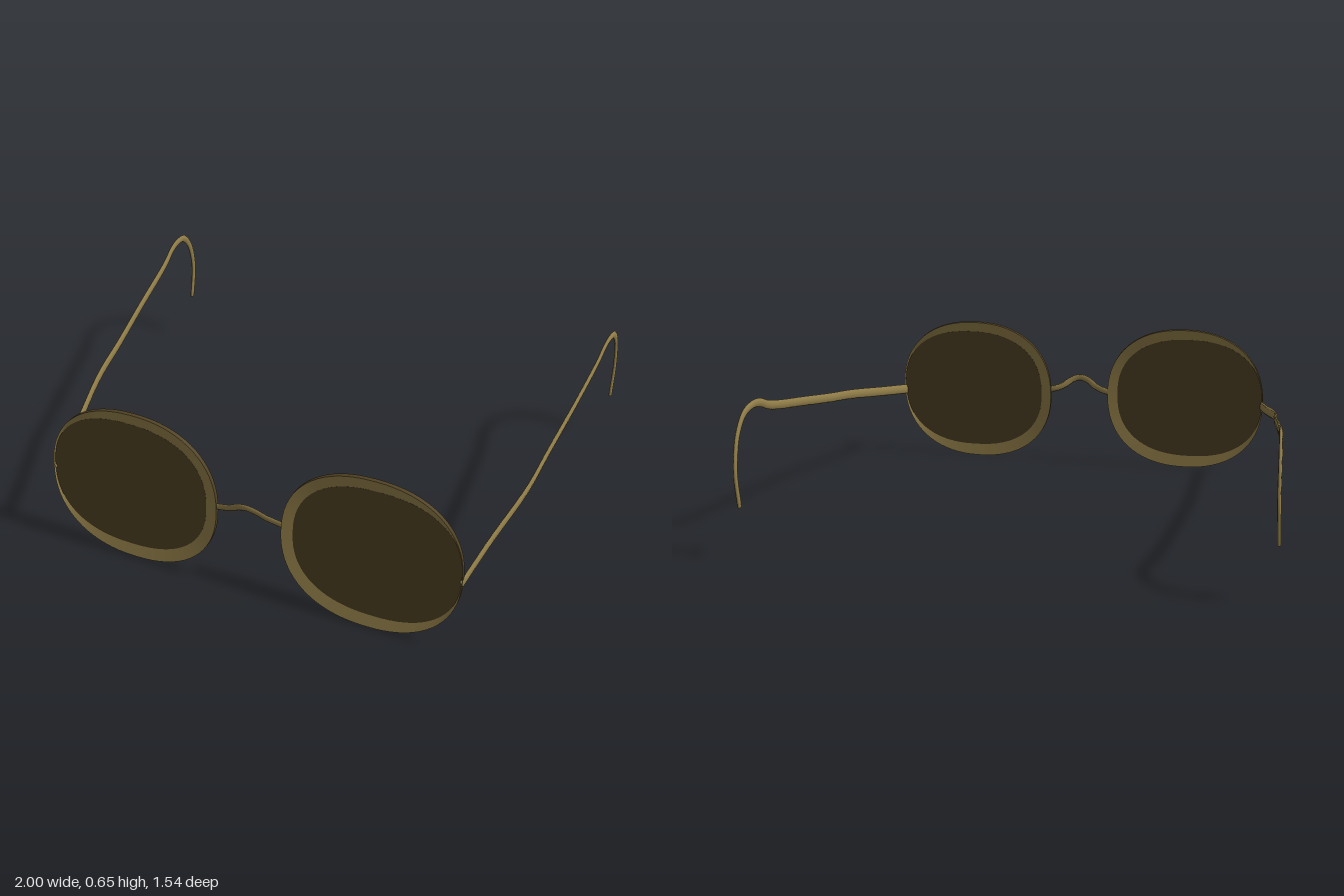
import * as THREE from 'three';

const V = (x, y, z) => new THREE.Vector3(x, y, z);

// Skin between successive closed rings of points
function loft(rings) {
  const n = rings[0].length, index = [];
  for (let i = 0; i < rings.length - 1; i++) {
    for (let j = 0; j < n; j++) {
      const k = (j + 1) % n, a = i * n + j, b = i * n + k, c = b + n, d = a + n;
      index.push(a, b, c, a, c, d);
    }
  }
  const geo = new THREE.BufferGeometry().setFromPoints(rings.flat());
  geo.setIndex(index);
  geo.computeVertexNormals();
  return geo;
}

// Flattened wire along a path: thin along one axis, tapering in width
function wire(points, thinAxis, thin, wideStart, wideEnd, steps) {
  const curve = new THREE.CatmullRomCurve3(points, false, 'centripetal');
  const rings = [];
  const ring = (t, scale) => {
    const p = curve.getPoint(t), tan = curve.getTangent(t);
    const wide = tan.clone().cross(thinAxis).normalize();
    const flat = wide.clone().cross(tan).normalize();
    const w = THREE.MathUtils.lerp(wideStart, wideEnd, t) * scale;
    rings.push(Array.from({ length: 8 }, (_, j) => {
      const a = j / 8 * Math.PI * 2;
      return p.clone().addScaledVector(flat, Math.cos(a) * thin * scale)
        .addScaledVector(wide, Math.sin(a) * w);
    }));
  };
  ring(0, 0);
  for (let i = 0; i <= steps; i++) ring(i / steps, 1);
  ring(1, 0);
  return loft(rings);
}

// Rounded, slightly squared oval
function oval(cx, cy, rx, ry, power, z) {
  const e = 2 / power;
  return Array.from({ length: 72 }, (_, i) => {
    const a = i / 72 * Math.PI * 2, c = Math.cos(a), s = Math.sin(a);
    return V(cx + Math.sign(c) * Math.abs(c) ** e * rx, cy + Math.sign(s) * Math.abs(s) ** e * ry, z);
  });
}

export function createModel() {
  const gold = new THREE.MeshStandardMaterial({ color: 0x94804a });
  gold.name = 'antique gold';
  const brown = new THREE.MeshStandardMaterial({ color: 0x504123 });
  brown.name = 'smoked brown';

  const model = new THREE.Group();
  model.name = 'sunglasses';
  const add = (parent, name, geo, mat) => {
    const mesh = new THREE.Mesh(geo, mat);
    mesh.name = name;
    parent.add(mesh);
  };

  for (const s of [1, -1]) {
    const side = s > 0 ? 'left' : 'right';

    // Tilted eyepiece: rim sloping in to a flat lens
    const eye = new THREE.Group();
    eye.name = side + 'Eyepiece';
    eye.position.set(s * 0.475, 0.327, 0.732);
    eye.rotation.x = -0.086;
    const outer = z => oval(0, 0, 0.345, 0.32, 2.25, z);
    const inner = z => oval(s * 0.02, 0.004, 0.321, 0.272, 2.35, z);
    add(eye, 'rimFront', loft([outer(0.009), inner(0.002)]), gold);
    add(eye, 'rimBack', loft([inner(-0.002), outer(-0.009)]), gold);
    add(eye, 'rimEdge', loft([outer(-0.009), outer(0.009)]), brown);
    const lens = new THREE.ExtrudeGeometry(
      new THREE.Shape(inner(0).map(p => new THREE.Vector2(p.x, p.y))),
      { depth: 0.005, bevelEnabled: false });
    lens.translate(0, 0, -0.0025);
    add(eye, 'lens', lens, brown);
    model.add(eye);

    // Temple arm with the ear hook at its end
    const path = [
      [0.815, 0.312, 0.735], [0.85, 0.353, 0.52], [0.902, 0.405, 0.25], [0.92, 0.44, 0.05],
      [0.945, 0.487, -0.2], [0.962, 0.525, -0.4], [0.968, 0.543, -0.47], [0.973, 0.567, -0.53],
      [0.977, 0.574, -0.59], [0.982, 0.556, -0.66], [0.986, 0.49, -0.717], [0.988, 0.41, -0.743],
      [0.99, 0.34, -0.749], [0.993, 0.215, -0.727],
    ].map(([x, y, z]) => V(s * x, y, z));
    add(model, side + 'TempleArm', wire(path, V(1, 0, 0), 0.007, 0.021, 0.013, 60), gold);
  }

  // Arched nose bridge
  const bridge = [
    [-0.15, 0.342, 0.73], [-0.11, 0.35, 0.731], [-0.07, 0.366, 0.739], [-0.035, 0.39, 0.75], [0, 0.4, 0.754],
    [0.035, 0.39, 0.75], [0.07, 0.366, 0.739], [0.11, 0.35, 0.731], [0.15, 0.342, 0.73],
  ].map(p => V(...p));
  add(model, 'noseBridge', wire(bridge, V(0, 0, 1), 0.004, 0.014, 0.014, 32), gold);

  // Resting slightly askew
  model.rotation.set(0, 0.006, -0.008);
  return model;
}
